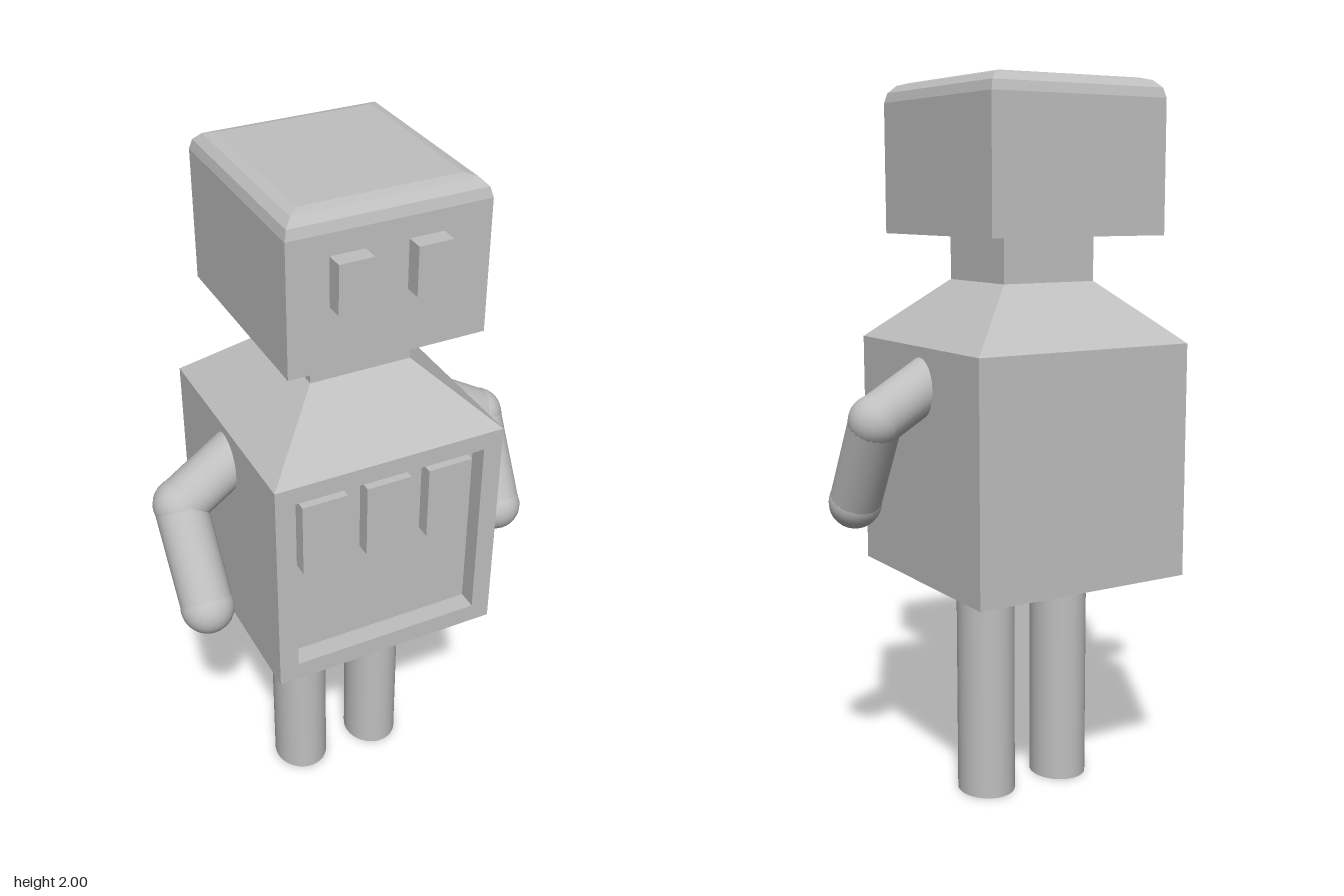
import * as THREE from 'three';

const grey = new THREE.MeshStandardMaterial({ color: 0xbfbfbf });
grey.name = 'grey';

function add(parent, name, geometry, x = 0, y = 0, z = 0) {
  const mesh = new THREE.Mesh(geometry, grey);
  mesh.name = name;
  mesh.position.set(x, y, z);
  parent.add(mesh);
  return mesh;
}

// box given by its corner limits
function block(parent, name, [x0, x1], [y0, y1], [z0, z1]) {
  const geometry = new THREE.BoxGeometry(x1 - x0, y1 - y0, z1 - z0);
  return add(parent, name, geometry, (x0 + x1) / 2, (y0 + y1) / 2, (z0 + z1) / 2);
}

// closed stack of rectangles, each row is [y, half width, half depth], bottom to top
function rectLoft(rows) {
  const rings = rows.map(([y, w, d]) => [[-w, y, d], [w, y, d], [w, y, -d], [-w, y, -d]]);
  const pos = [];
  const quad = (a, b, c, d) => pos.push(...a, ...b, ...c, ...a, ...c, ...d);
  for (let r = 0; r < rings.length - 1; r++) {
    const low = rings[r], high = rings[r + 1];
    for (let i = 0; i < 4; i++) {
      const j = (i + 1) % 4;
      quad(low[i], low[j], high[j], high[i]);
    }
  }
  const top = rings[rings.length - 1], bottom = rings[0];
  quad(top[0], top[1], top[2], top[3]);
  quad(bottom[3], bottom[2], bottom[1], bottom[0]);
  const geometry = new THREE.BufferGeometry();
  geometry.setAttribute('position', new THREE.Float32BufferAttribute(pos, 3));
  geometry.computeVertexNormals();
  return geometry;
}

function rectangle(target, x0, x1, y0, y1) {
  target.moveTo(x0, y0);
  target.lineTo(x1, y0);
  target.lineTo(x1, y1);
  target.lineTo(x0, y1);
  target.closePath();
  return target;
}

// round limb between two points
function limb(parent, name, from, to, radius) {
  const dir = to.clone().sub(from);
  const mid = from.clone().add(to).multiplyScalar(0.5);
  const mesh = add(parent, name, new THREE.CylinderGeometry(radius, radius, dir.length(), 24), mid.x, mid.y, mid.z);
  mesh.quaternion.setFromUnitVectors(new THREE.Vector3(0, 1, 0), dir.normalize());
}

function arm(name, points) {
  const group = new THREE.Group();
  group.name = name;
  const [shoulder, elbow, hand] = points.map((p) => new THREE.Vector3(...p));
  limb(group, 'upperArm', shoulder, elbow, 0.071);
  limb(group, 'forearm', elbow, hand, 0.071);
  for (const [part, p] of [['elbow', elbow], ['hand', hand]]) {
    add(group, part, new THREE.SphereGeometry(0.073, 24, 16), p.x, p.y, p.z);
  }
  return group;
}

export function createModel() {
  const model = new THREE.Group();
  model.name = 'robot';

  // torso: solid back with a front frame around the recessed panel
  block(model, 'torso', [-0.325, 0.33], [0.65, 1.3], [-0.333, 0.265]);
  const frame = rectangle(new THREE.Shape(), -0.325, 0.33, 0.65, 1.3);
  frame.holes.push(rectangle(new THREE.Path(), -0.27, 0.275, 0.705, 1.25));
  add(model, 'panelFrame', new THREE.ExtrudeGeometry(frame, { depth: 0.056, bevelEnabled: false }), 0, 0, 0.264);

  // buttons on the panel
  for (const x of [-0.181, 0.003, 0.184]) {
    block(model, 'button', [x - 0.064, x + 0.064], [1.005, 1.22], [0.26, 0.307]);
  }

  // sloped shoulders and neck
  add(model, 'shoulders', rectLoft([[1.3, 0.3275, 0.3265], [1.465, 0.143, 0.143]]), 0.0025, 0, -0.0065);
  block(model, 'neck', [-0.14, 0.145], [1.46, 1.6], [-0.149, 0.136]);

  // head with rounded top edges
  const round = 0.053;
  const rows = [[1.59, 0.268, 0.291]];
  for (let i = 0; i <= 3; i++) {
    const a = (i / 3) * Math.PI / 2;
    const inset = round * (1 - Math.cos(a));
    rows.push([2 - round + round * Math.sin(a), 0.268 - inset, 0.291 - inset]);
  }
  add(model, 'head', rectLoft(rows), 0.002, 0, -0.007);

  // eyes
  for (const x of [-0.11, 0.095]) {
    block(model, 'eye', [x - 0.046, x + 0.046], [1.76, 1.89], [0.27, 0.331]);
  }

  // arms
  model.add(arm('leftArm', [[0.25, 1.236, -0.02], [0.463, 1.11, -0.02], [0.463, 0.868, 0.115]]));
  model.add(arm('rightArm', [[-0.25, 1.238, -0.013], [-0.467, 1.105, 0.008], [-0.467, 0.872, 0.171]]));

  // legs, slightly oval
  for (const [name, x] of [['rightLeg', -0.128], ['leftLeg', 0.118]]) {
    const leg = new THREE.CylinderGeometry(1, 1, 0.68, 32).scale(0.08, 1, 0.089);
    add(model, name, leg, x, 0.34, 0);
  }
  return model;
}
